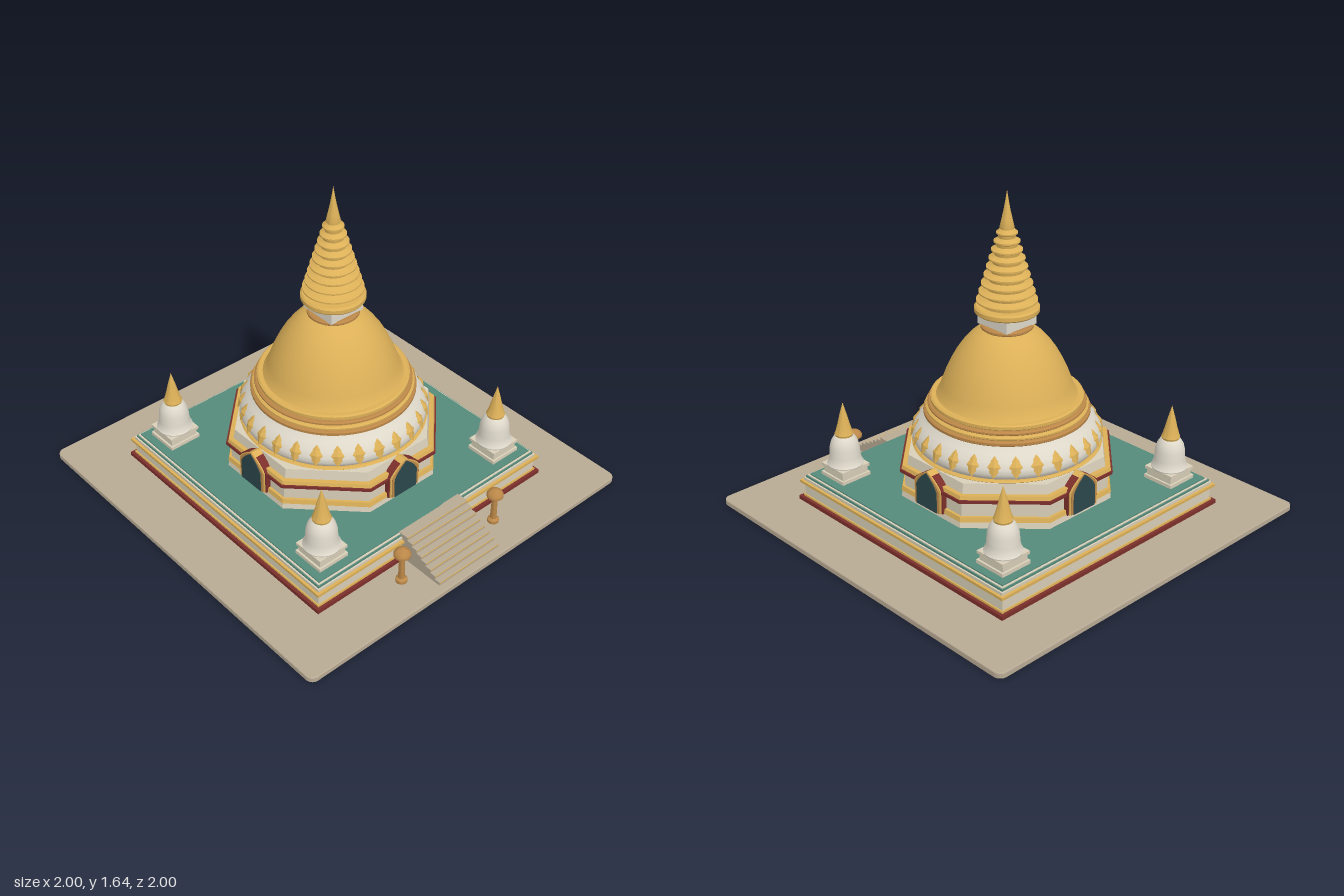
import * as THREE from 'three';
import { toCreasedNormals } from 'three/addons/utils/BufferGeometryUtils.js';

const mat = (name, color) => {
  const m = new THREE.MeshStandardMaterial({ color });
  m.name = name;
  return m;
};

export function createModel() {
  const model = new THREE.Group();
  model.name = 'stupa';
  const paving = mat('paving stone', 0xb8aa94);
  const cream = mat('cream plaster', 0xd8cfb8);
  const white = mat('white plaster', 0xdfd9cb);
  const gold = mat('gold', 0xdcb058);
  const bronze = mat('bronze', 0xbb8748);
  const red = mat('dark red', 0x7c2f2b);
  const teal = mat('teal terrace', 0x558a7b);
  const dark = mat('dark door', 0x2b474b);

  const add = (parent, name, geo, material, x = 0, y = 0, z = 0) => {
    const m = new THREE.Mesh(geo, material);
    m.name = name;
    m.position.set(x, y, z);
    parent.add(m);
    return m;
  };
  const group = (name, parent = model) => {
    const g = new THREE.Group();
    g.name = name;
    parent.add(g);
    return g;
  };
  // square slab from its half width and its bottom and top heights
  const slab = (parent, name, half, y0, y1, material) =>
    add(parent, name, new THREE.BoxGeometry(half * 2, y1 - y0, half * 2), material, 0, (y0 + y1) / 2, 0);
  // turned part from [radius, height] pairs, bottom to top
  const turned = (parent, name, pts, material, segs = 64) =>
    add(parent, name, toCreasedNormals(
      new THREE.LatheGeometry(pts.map(p => new THREE.Vector2(p[0], p[1])), segs), 0.6), material);
  // octagonal course with flat sides facing the axes
  const octagon = (parent, name, a0, a1, y0, y1, material) => {
    const k = Math.cos(Math.PI / 8);
    const geo = new THREE.CylinderGeometry(a1 / k, a0 / k, y1 - y0, 8).rotateY(Math.PI / 8).toNonIndexed();
    geo.computeVertexNormals();
    add(parent, name, geo, material, 0, (y0 + y1) / 2, 0);
  };

  // Ground slab with rounded corners
  const s = new THREE.Shape(), h = 0.995, r = 0.035;
  s.moveTo(-h + r, -h);
  [[1, -1], [1, 1], [-1, 1], [-1, -1]].forEach(([x, y], i) => {
    const start = Math.PI * (i - 1) / 2;
    s.absarc(x * (h - r), y * (h - r), r, start, start + Math.PI / 2, false);
  });
  const slabGeo = new THREE.ExtrudeGeometry(s, {
    depth: 0.02, bevelEnabled: true, bevelThickness: 0.005, bevelSize: 0.005, bevelSegments: 2, curveSegments: 8,
  }).rotateX(-Math.PI / 2);
  add(model, 'groundSlab', slabGeo, paving, 0, 0.005, 0);

  // Square terrace built of courses
  const terrace = group('terrace');
  [['redFooting', 0.728, 0.03, 0.05, red], ['lowerGoldCourse', 0.712, 0.05, 0.06, gold],
    ['terraceWall', 0.705, 0.06, 0.12, cream], ['redFillet', 0.708, 0.115, 0.124, red],
    ['upperGoldCourse', 0.722, 0.124, 0.138, gold], ['creamLedge', 0.708, 0.138, 0.152, cream],
    ['tealEdge', 0.7, 0.152, 0.162, teal], ['creamRim', 0.694, 0.162, 0.166, cream],
    ['terraceFloor', 0.685, 0.162, 0.172, teal],
  ].forEach(([n, ...a]) => slab(terrace, n, ...a));

  // Stairs with gold nosings
  const stairs = group('stairs');
  const steps = 8, run = 0.25 / steps, rise = 0.142 / steps;
  for (let i = 0; i < steps; i++) {
    const front = 0.96 - i * run, top = 0.03 + (i + 1) * rise;
    add(stairs, 'step', new THREE.BoxGeometry(0.39, top - 0.02, front - 0.68), paving,
      0, (top + 0.02) / 2, (front + 0.68) / 2);
    add(stairs, 'nosing', new THREE.BoxGeometry(0.388, 0.004, 0.004), gold, 0, top - 0.003, front);
  }

  // Lamp posts beside the stairs
  for (const x of [-0.303, 0.303]) {
    const lamp = turned(model, 'lampPost', [[0, 0.03], [0.028, 0.03], [0.028, 0.045], [0.016, 0.055],
      [0.014, 0.165], [0.022, 0.172], [0.026, 0.18], [0.04, 0.19], [0.041, 0.202], [0.033, 0.216],
      [0.018, 0.226], [0, 0.232]], bronze, 24);
    lamp.position.set(x, 0, 0.82);
  }

  // Octagonal base
  const base = group('octagonalBase');
  [['footing', 0.5, 0.495, 0.17, 0.203, cream], ['lowerGoldBand', 0.5, 0.495, 0.203, 0.226, gold],
    ['octagonWall', 0.482, 0.482, 0.226, 0.303, cream], ['redBand', 0.505, 0.505, 0.303, 0.318, red],
    ['goldCornice', 0.497, 0.492, 0.318, 0.336, gold], ['upperTier', 0.47, 0.462, 0.336, 0.385, cream],
  ].forEach(([n, ...a]) => octagon(base, n, ...a));

  // Pointed niches, each a stack of nested arches
  const arch = (w, shoulder, apex) => {
    const a = new THREE.Shape();
    a.moveTo(-w, 0.2);
    a.lineTo(w, 0.2);
    a.lineTo(w, shoulder);
    a.quadraticCurveTo(w * 0.75, shoulder + (apex - shoulder) * 0.5, 0, apex);
    a.quadraticCurveTo(-w * 0.75, shoulder + (apex - shoulder) * 0.5, -w, shoulder);
    return a;
  };
  for (let i = 0; i < 4; i++) {
    const niche = group('niche');
    niche.rotation.y = i * Math.PI / 2;
    [['redSurround', 0.098, 0.318, 0.388, 0.508, red], ['goldSurround', 0.091, 0.316, 0.39, 0.514, gold],
      ['bronzeSurround', 0.083, 0.312, 0.388, 0.518, bronze], ['door', 0.07, 0.305, 0.385, 0.522, dark],
    ].forEach(([n, w, sh, ap, front, m]) => add(niche, n, new THREE.ExtrudeGeometry(arch(w, sh, ap),
      { depth: front - 0.45, bevelEnabled: false, curveSegments: 6 }), m, 0, 0, 0.45));
  }

  // Round drum with a ring of petals
  const drum = group('drum');
  turned(drum, 'drumFoot', [[0.4, 0.38], [0.452, 0.38], [0.46, 0.388], [0.452, 0.396], [0.4, 0.396]], gold);
  turned(drum, 'drumBody', [[0.44, 0.394], [0.45, 0.405], [0.459, 0.425], [0.456, 0.45], [0.441, 0.48],
    [0.415, 0.51], [0.395, 0.53], [0.385, 0.545], [0.3, 0.545]], white);
  const petals = 28;
  const petalGeo = new THREE.OctahedronGeometry(1).scale(0.038, 0.053, 0.014).rotateX(-0.42);
  for (let i = 0; i < petals; i++) {
    const a = (i / petals) * Math.PI * 2;
    const p = add(drum, 'petal', petalGeo, gold, Math.sin(a) * 0.447, 0.46, Math.cos(a) * 0.447);
    p.rotation.y = a;
  }

  // Stepped rings under the dome
  [[0.402, 0.54, 0.565], [0.392, 0.565, 0.585], [0.382, 0.585, 0.605], [0.368, 0.605, 0.632]]
    .forEach(([R, y0, y1], i) => turned(model, 'domeRing', [[0.3, y0], [R - 0.008, y0], [R, y0 + 0.006],
      [R, y1 - 0.006], [R - 0.008, y1], [0.3, y1]], i % 2 ? gold : bronze));

  // Dome and its crown
  turned(model, 'dome', [[0.345, 0.625], [0.328, 0.645], [0.312, 0.69], [0.293, 0.74], [0.27, 0.79],
    [0.243, 0.84], [0.212, 0.885], [0.178, 0.925], [0.145, 0.953], [0.11, 0.972], [0, 0.98]], gold);
  turned(model, 'crownRing', [[0, 0.966], [0.118, 0.966], [0.125, 0.972], [0.125, 0.982], [0.118, 0.988],
    [0, 0.988]], bronze);
  slab(model, 'crownBlock', 0.098, 0.986, 1.052, white);

  // Ringed spire and finial
  turned(model, 'spireFoot', [[0, 1.048], [0.148, 1.048], [0.154, 1.055], [0.154, 1.074], [0.145, 1.083],
    [0, 1.083]], gold);
  const rings = 9, spire = [[0.115, 1.08]];
  for (let i = 0; i < rings; i++) {
    const y = 1.085 + i * 0.041, R = 0.145 - i * 0.0118;
    spire.push([R * 0.79, y], [R * 0.82, y + 0.014], [R, y + 0.02], [R, y + 0.027], [R * 0.82, y + 0.033]);
  }
  spire.push([0.033, 1.456], [0, 1.456]);
  turned(model, 'spire', spire, gold, 48);
  turned(model, 'finial', [[0.032, 1.452], [0.034, 1.465], [0.026, 1.5], [0.016, 1.545], [0.008, 1.59],
    [0, 1.64]], gold, 32);

  // Small corner shrines
  for (const x of [-0.56, 0.56]) for (const z of [-0.56, 0.56]) {
    const shrine = group('cornerShrine');
    shrine.position.set(x, 0, z);
    slab(shrine, 'shrineFoot', 0.085, 0.17, 0.19, cream);
    slab(shrine, 'shrinePlinth', 0.075, 0.19, 0.222, cream);
    slab(shrine, 'shrineLedge', 0.083, 0.222, 0.237, cream);
    turned(shrine, 'shrineBell', [[0, 0.235], [0.088, 0.235], [0.09, 0.243], [0.083, 0.252], [0.076, 0.285],
      [0.073, 0.33], [0.065, 0.36], [0.052, 0.382], [0.04, 0.393], [0, 0.395]], white, 32);
    turned(shrine, 'shrineSpire', [[0, 0.39], [0.043, 0.39], [0.046, 0.4], [0.041, 0.412], [0.03, 0.45],
      [0.018, 0.5], [0, 0.565]], gold, 32);
  }
  return model;
}
